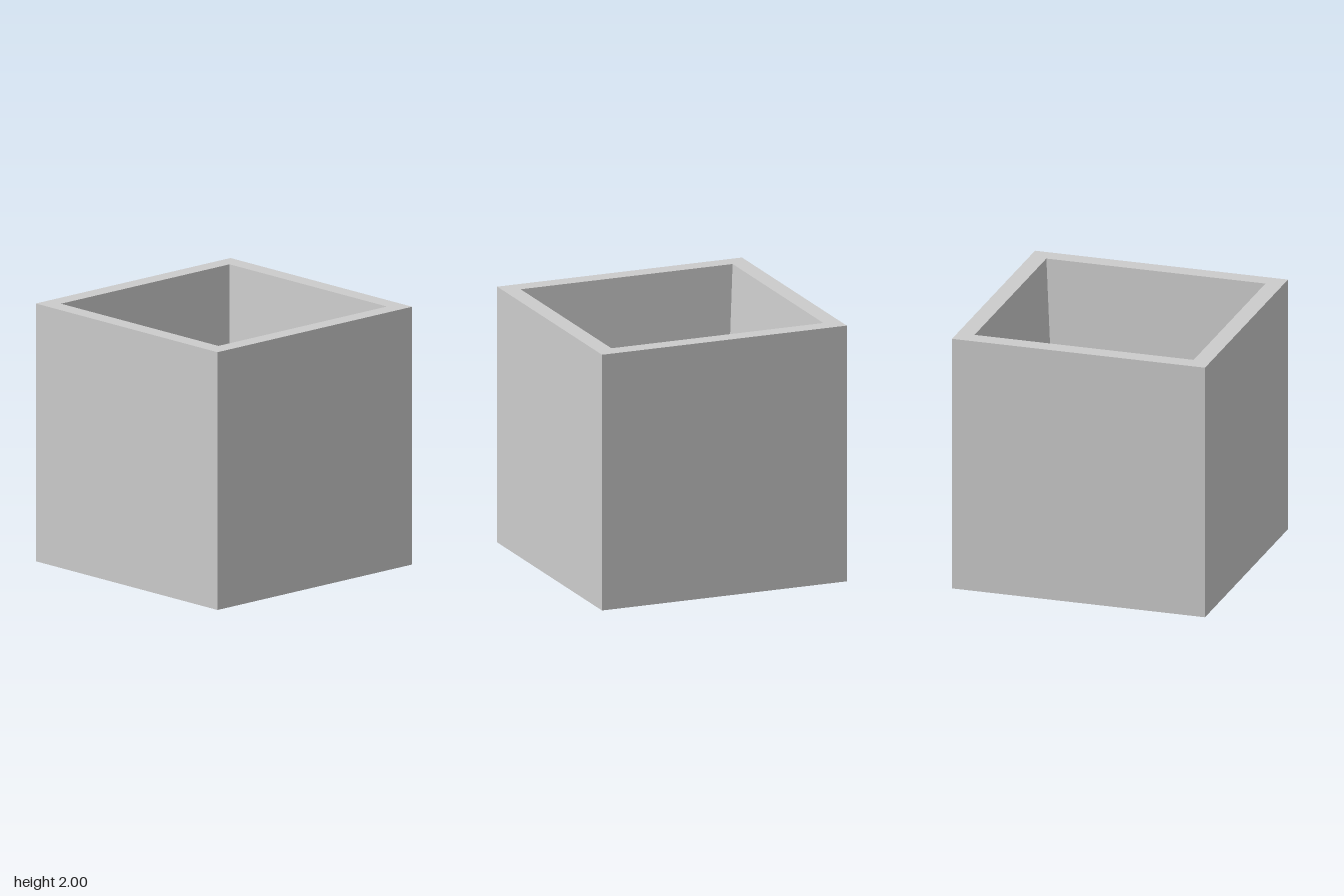
import * as THREE from 'three';

export function createModel() {
  const group = new THREE.Group();
  group.name = 'openBox';

  // Half-widths and heights: underside, outer wall, rim, tapered inner wall, floor
  const profile = [
    [0, 0], [1, 0], [1, 2], [0.866, 2], [0.753, 0.25], [0, 0.25],
  ].map(([half, y]) => new THREE.Vector2(half * Math.SQRT2, y));

  // Four-sided lathe, turned so its flat sides face the axes
  const geometry = new THREE.LatheGeometry(profile, 4, Math.PI / 4).toNonIndexed();
  geometry.computeVertexNormals();

  const box = new THREE.Mesh(
    geometry,
    new THREE.MeshStandardMaterial({ color: 0xcccccc, flatShading: true }),
  );
  box.name = 'planterBox';
  group.add(box);
  return group;
}
